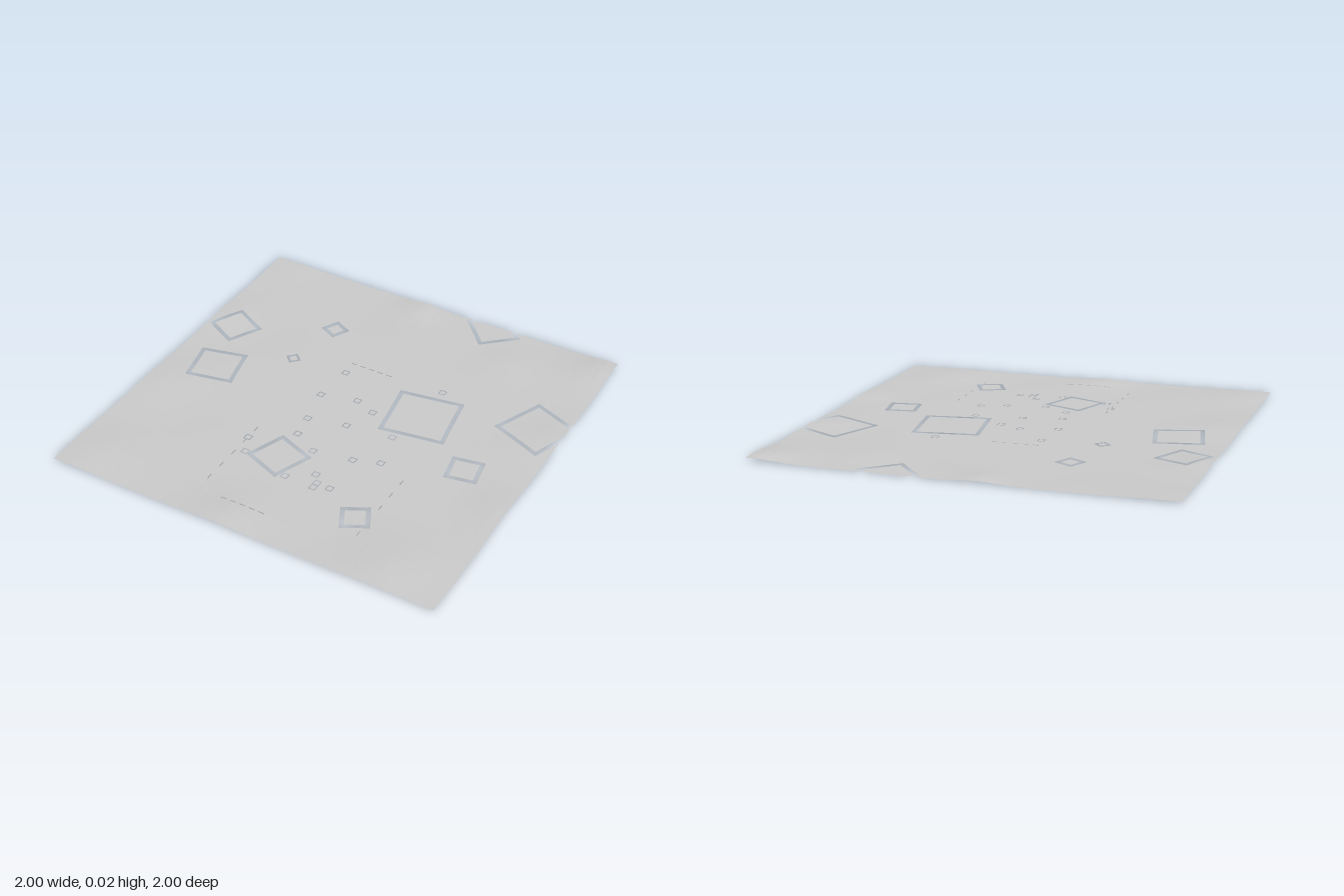
import * as THREE from 'three';

const CELLS = 40;

// square ring slots: centre x, centre z, outer side, turn in degrees
const plots = [
  [0.34, -0.14, 0.33, -9], [-0.855, -0.335, 0.2, 27], [-0.75, 0, 0.245, -13],
  [-0.39, -0.565, 0.105, 27], [-0.445, -0.24, 0.06, 45], [0.32, -0.97, 0.22, -42],
  [0.865, -0.33, 0.29, 23], [0.7, 0.115, 0.16, -10], [-0.1, 0.455, 0.22, 21],
  [0.425, 0.655, 0.14, -27],
];
// small square slots: centre x, centre z
const pads = [
  [0.34, -0.36], [-0.155, -0.265], [-0.17, -0.05], [0.01, -0.095], [0.12, -0.05],
  [0.06, 0.1], [-0.13, 0.145], [0.295, 0.07], [0.215, 0.31], [0.34, 0.265],
  [-0.11, 0.27], [0.02, 0.345], [-0.3, 0.41], [-0.255, 0.505], [0, 0.565],
  [0.12, 0.485], [0.155, 0.535], [0.155, 0.57], [0.225, 0.54],
];
// low hills: x, z, radius, height
const hills = [
  [0.97, -0.92, 0.16, 0.018], [-0.9, -0.95, 0.2, 0.008], [-0.1, -0.95, 0.12, 0.012],
  [0.5, -0.75, 0.15, 0.006], [-0.9, 0.2, 0.18, 0.008], [-0.88, 0.85, 0.18, 0.01],
  [-0.1, 0.95, 0.15, 0.011], [0.7, 0.85, 0.2, 0.01], [0.97, 0.3, 0.15, 0.01],
  [0.95, -0.3, 0.15, 0.009], [-0.95, -0.4, 0.12, 0.008],
];

function height(x, z) {
  const edge = Math.min(1, Math.max(0, (Math.max(Math.abs(x), Math.abs(z)) - 0.4) / 0.5));
  let y = 0.004 + edge * 0.002 * (Math.sin(9 * x + 1) * Math.cos(8 * z) - 1);
  for (const [hx, hz, r, h] of hills) y += h * Math.exp(-((x - hx) ** 2 + (z - hz) ** 2) / (r * r));
  return y;
}

function rect(cx, cz, w, d, degrees = 0) {
  const a = THREE.MathUtils.degToRad(degrees), c = Math.cos(a), s = Math.sin(a);
  return [[-1, -1], [-1, 1], [1, 1], [1, -1]].map(([i, j]) => {
    const u = i * w / 2, v = j * d / 2;
    return [cx + u * c - v * s, cz + u * s + v * c];
  });
}

// part of a convex polygon on one side of the line a-b
function clip(poly, a, b, sign) {
  const dist = (p) => sign * ((b[1] - a[1]) * (p[0] - a[0]) - (b[0] - a[0]) * (p[1] - a[1]));
  const out = [];
  poly.forEach((p, i) => {
    const q = poly[(i + 1) % poly.length], dp = dist(p), dq = dist(q);
    if (dp >= 0) out.push(p);
    if (dp * dq < 0) {
      const t = dp / (dp - dq);
      out.push([p[0] + (q[0] - p[0]) * t, p[1] + (q[1] - p[1]) * t]);
    }
  });
  return out;
}

// divide a convex polygon into what lies inside and outside a convex cutter
function split(poly, cutter) {
  const outside = [];
  let inside = poly;
  for (let i = 0; i < cutter.length && inside.length > 2; i++) {
    const a = cutter[i], b = cutter[(i + 1) % cutter.length];
    const rest = clip(inside, a, b, -1);
    if (rest.length > 2) outside.push(rest);
    inside = clip(inside, a, b, 1);
  }
  return inside.length > 2 ? { inside, outside } : { inside: null, outside: [poly] };
}

// drape flat polygons over the relief
function drape(name, polys, material) {
  const pos = [];
  const put = (p) => pos.push(p[0], height(p[0], p[1]), p[1]);
  for (const p of polys) {
    for (let i = 1; i < p.length - 1; i++) { put(p[0]); put(p[i]); put(p[i + 1]); }
  }
  const geometry = new THREE.BufferGeometry();
  geometry.setAttribute('position', new THREE.Float32BufferAttribute(pos, 3));
  geometry.computeVertexNormals();
  const mesh = new THREE.Mesh(geometry, material);
  mesh.name = name;
  return mesh;
}

export function createModel() {
  const material = new THREE.MeshStandardMaterial({
    color: 0xcccccc, flatShading: true, side: THREE.DoubleSide,
  });

  // every opening has an outer outline and, when it is a ring, an inner floor
  const openings = [
    ...plots.map(([x, z, s, a]) => {
      const inner = s - 2 * (s < 0.08 ? 0.013 : 0.022);
      return { outer: rect(x, z, s, s, a), floor: rect(x, z, inner, inner, a) };
    }),
    ...pads.map(([x, z]) => ({ outer: rect(x, z, 0.036, 0.036), floor: rect(x, z, 0.024, 0.024) })),
  ];

  // dashed slots around the middle
  for (let i = 0; i < 5; i++) {
    for (const z of [-0.35, 0.84]) openings.push({ outer: rect(-0.155 + i * 0.05, z, 0.032, 0.006) });
    for (const x of [-0.3, 0.49]) openings.push({ outer: rect(x, 0.34 + i * 0.1, 0.006, 0.035) });
  }

  const ground = [], floors = [];
  const step = 2 / CELLS;
  for (let i = 0; i < CELLS; i++) {
    for (let j = 0; j < CELLS; j++) {
      let pieces = [rect(-1 + (i + 0.5) * step, -1 + (j + 0.5) * step, step, step)];
      for (const { outer, floor } of openings) {
        pieces = pieces.flatMap((piece) => {
          const { inside, outside } = split(piece, outer);
          const patch = inside && floor && split(inside, floor).inside;
          if (patch) floors.push(patch);
          return outside;
        });
      }
      ground.push(...pieces);
    }
  }

  const model = new THREE.Group();
  model.name = 'terrain';
  model.add(drape('ground', ground, material), drape('plotFloors', floors, material));

  // rest the lowest point on y = 0
  const box = new THREE.Box3().setFromObject(model);
  model.children.forEach((mesh) => mesh.geometry.translate(0, -box.min.y, 0));
  return model;
}
